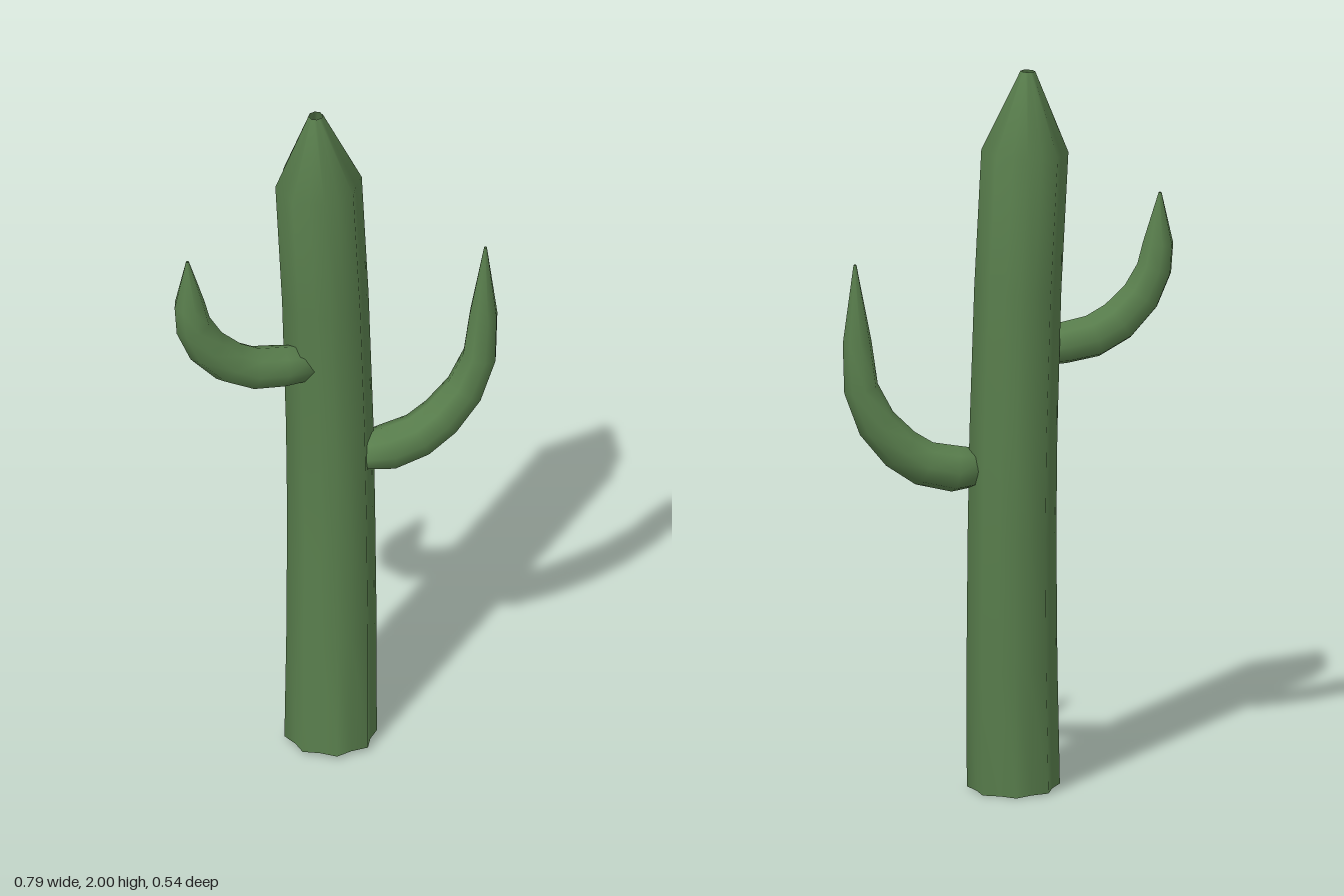
import * as THREE from 'three';

// Loft of rings [x, y, z, radius] along a path; `side` orients the rings, `rib` scales each corner
function loft(rings, side, sides, rib, capStart) {
  const pts = rings.map(r => new THREE.Vector3(r[0], r[1], r[2]));
  const pos = [], idx = [];
  rings.forEach((ring, i) => {
    const t = pts[Math.min(i + 1, pts.length - 1)].clone().sub(pts[Math.max(i - 1, 0)]).normalize();
    const s = side.clone().addScaledVector(t, -side.dot(t)).normalize();
    const n = t.clone().cross(s);
    for (let j = 0; j < sides; j++) {
      const a = j / sides * Math.PI * 2, r = ring[3] * rib(j);
      const p = pts[i].clone().addScaledVector(s, Math.cos(a) * r).addScaledVector(n, Math.sin(a) * r);
      pos.push(p.x, p.y, p.z);
      if (i < rings.length - 1) {
        const k = (j + 1) % sides, b = i * sides;
        idx.push(b + j, b + k, b + sides + j, b + k, b + sides + k, b + sides + j);
      }
    }
  });
  if (capStart) {
    const c = pos.length / 3;
    pos.push(...pts[0].toArray());
    for (let j = 0; j < sides; j++) idx.push(c, (j + 1) % sides, j);
  }
  const g = new THREE.BufferGeometry();
  g.setAttribute('position', new THREE.Float32BufferAttribute(pos, 3));
  g.setIndex(idx);
  g.computeVertexNormals();
  return g;
}

export function createModel() {
  const model = new THREE.Group();
  model.name = 'cactus';
  const green = new THREE.MeshStandardMaterial({ color: 0x587d4c, side: THREE.DoubleSide });
  green.name = 'cactusGreen';

  const add = (name, geometry) => {
    const mesh = new THREE.Mesh(geometry, green);
    mesh.name = name;
    model.add(mesh);
  };

  // Ribbed, slightly bent trunk, open at the base and at the small tip
  add('trunk', loft([
    [-0.012, 0.008, -0.015, 0.126],
    [0.004, 0.35, -0.024, 0.123],
    [0.014, 0.72, -0.033, 0.120],
    [0.014, 1.0, -0.038, 0.119],
    [0.004, 1.4, -0.045, 0.118],
    [-0.017, 1.78, -0.052, 0.118],
    [-0.028, 2.0, -0.053, 0.02],
  ], new THREE.Vector3(0, 0, 1), 16, j => (j % 2 ? 0.88 : 1), false));

  // Arms curve upward in a vertical plane: rows of [x, y, radius], z follows x linearly
  const arm = (name, rows, z0, slope) => {
    const dir = Math.sign(rows[rows.length - 1][0]);
    const side = new THREE.Vector3(-slope * dir, 0, dir).normalize();
    const rings = rows.map(([x, y, r]) => [x, y, z0 + slope * x, r]);
    add(name, loft(rings, side, 8, () => 1, true));
  };

  arm('leftArm', [
    [0.06, 0.9, 0.05], [0.125, 0.9, 0.064], [0.195, 0.92, 0.062], [0.25, 0.965, 0.06],
    [0.305, 1.04, 0.055], [0.341, 1.14, 0.048], [0.35, 1.27, 0.04], [0.355, 1.485, 0.004],
  ], -0.009, 0.68);

  arm('rightArm', [
    [-0.06, 1.22, 0.048], [-0.13, 1.23, 0.058], [-0.2, 1.243, 0.06], [-0.26, 1.28, 0.06],
    [-0.315, 1.345, 0.056], [-0.347, 1.42, 0.05], [-0.356, 1.49, 0.043], [-0.361, 1.63, 0.004],
  ], -0.009, 0.63);

  return model;
}
